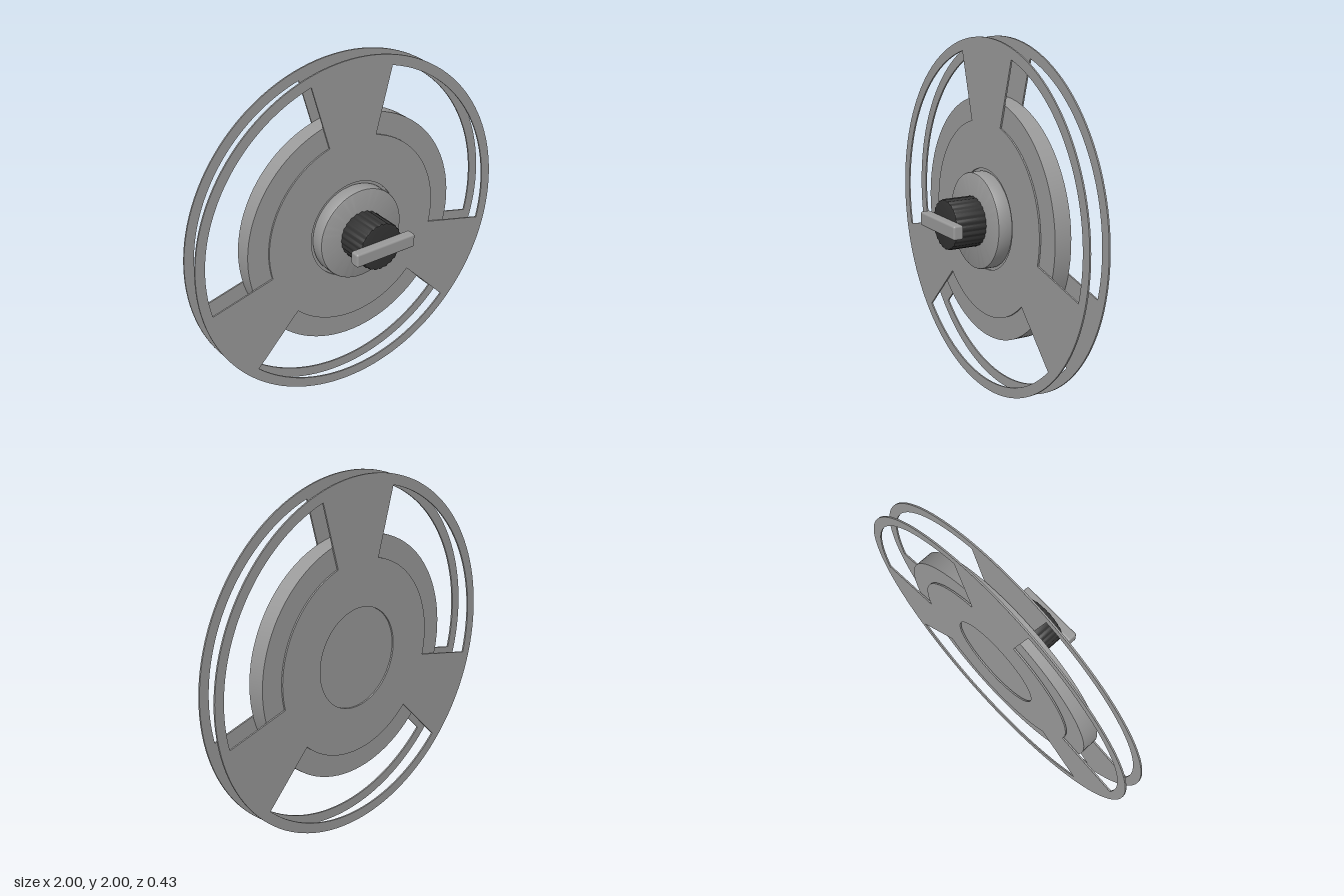
import * as THREE from 'three';
import { RoundedBoxGeometry } from 'three/addons/geometries/RoundedBoxGeometry.js';
import { toCreasedNormals } from 'three/addons/utils/BufferGeometryUtils.js';

const rad = THREE.MathUtils.degToRad;

// Disc outline with a hub hole and three spoke windows
function flangeShape() {
  const shape = new THREE.Shape();
  shape.absarc(0, 0, 1, 0, Math.PI * 2, false);
  const hub = new THREE.Path();
  hub.absarc(0, 0, 0.285, 0, Math.PI * 2, true);
  shape.holes.push(hub);
  for (const mid of [30, 150, 270]) {
    const a = rad(mid - 44), b = rad(mid + 44);
    const win = new THREE.Path();
    win.absarc(0, 0, 0.942, a, b, false);
    win.absarc(0, 0, 0.553, b, a, true);
    win.closePath();
    shape.holes.push(win);
  }
  return shape;
}

// Solid of revolution about z, with chamfered rims
function disc(r, z0, z1, c, segments = 96) {
  const pts = c > 0
    ? [[0, z0], [r - c, z0], [r - c * 0.3, z0 + c * 0.3], [r, z0 + c],
       [r, z1 - c], [r - c * 0.3, z1 - c * 0.3], [r - c, z1], [0, z1]]
    : [[0, z0], [r, z0], [r, z1], [0, z1]];
  const geo = new THREE.LatheGeometry(pts.map(p => new THREE.Vector2(...p)), segments);
  geo.rotateX(Math.PI / 2);
  return toCreasedNormals(geo, 0.6);
}

// Knob with a finely fluted grip
function knobGeometry() {
  const shape = new THREE.Shape();
  const n = 144;
  for (let i = 0; i < n; i++) {
    const a = (i / n) * Math.PI * 2;
    const r = 0.131 + 0.003 * Math.cos(a * 24);
    const x = r * Math.cos(a), y = r * Math.sin(a);
    if (i) shape.lineTo(x, y); else shape.moveTo(x, y);
  }
  shape.closePath();
  const geo = new THREE.ExtrudeGeometry(shape, {
    depth: 0.17, bevelThickness: 0.006, bevelSize: 0.006, bevelSegments: 2,
  });
  geo.translate(0, 0, -0.013);
  return toCreasedNormals(geo, 0.6);
}

export function createModel() {
  const group = new THREE.Group();
  const grey = new THREE.MeshStandardMaterial({ color: 0x999999 });
  grey.name = 'reel grey';
  const black = new THREE.MeshStandardMaterial({ color: 0x333333 });
  black.name = 'knob black';

  const add = (name, geo, mat) => {
    const mesh = new THREE.Mesh(geo, mat);
    mesh.name = name;
    mesh.position.y = 1;
    group.add(mesh);
    return mesh;
  };

  // Two thin flanges
  const flange = toCreasedNormals(new THREE.ExtrudeGeometry(flangeShape(), {
    depth: 0.009, bevelEnabled: false, curveSegments: 64,
  }), 0.6);
  add('frontFlange', flange, grey).position.z = -0.099;
  add('backFlange', flange, grey).position.z = -0.214;

  // Wound tape between the flanges
  add('tapePack', disc(0.68, -0.201, -0.103, 0), grey);

  // Hub clamp, knob and grip bar
  add('hubClamp', disc(0.27, -0.103, -0.016, 0.01), grey);
  add('knob', knobGeometry(), black);
  add('gripBar', new RoundedBoxGeometry(0.39, 0.08, 0.06, 3, 0.012), grey)
    .position.set(-0.002, 1, 0.184);

  return group;
}
